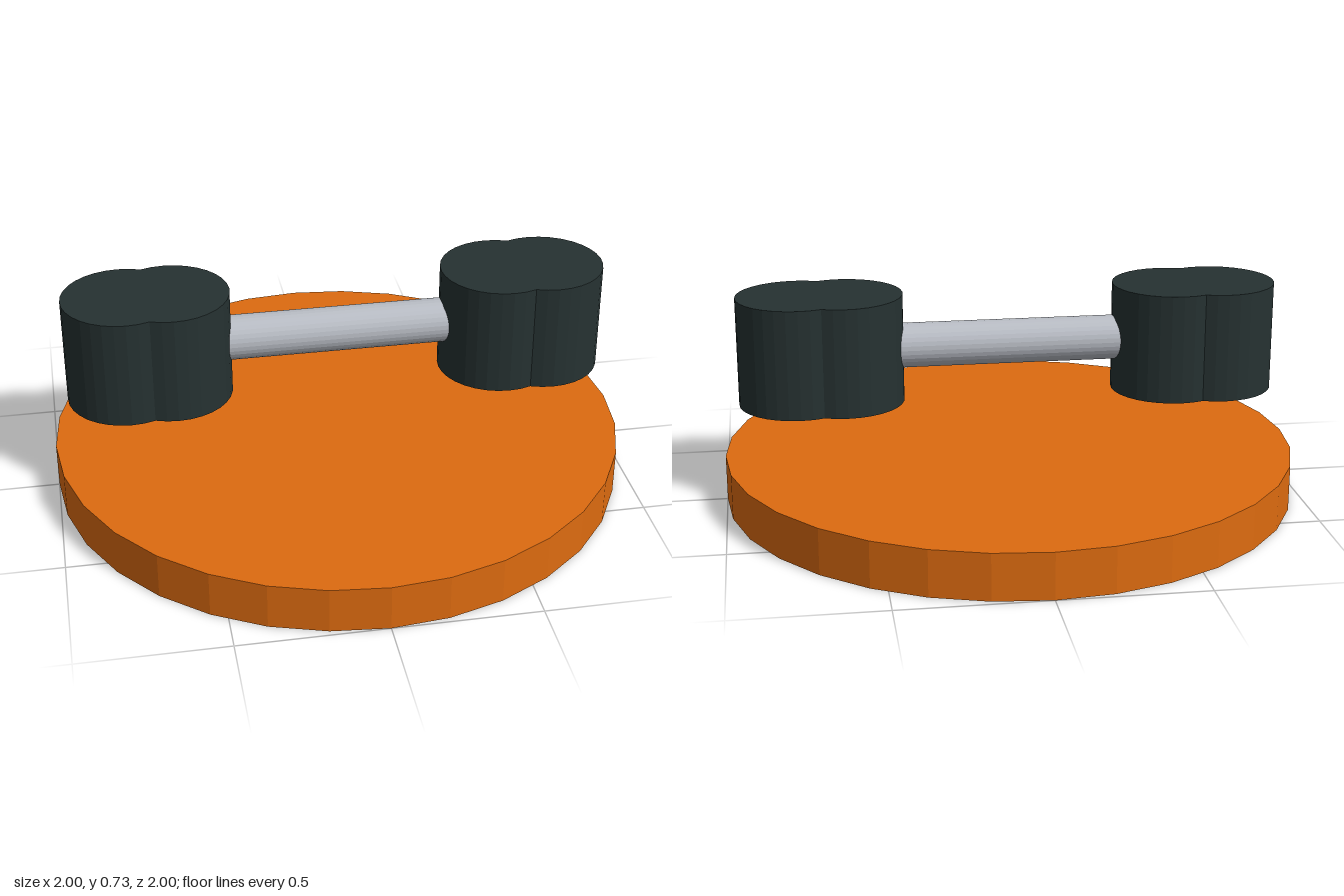
import * as THREE from 'three';

function material(name, color) {
  const m = new THREE.MeshStandardMaterial({ color, flatShading: true });
  m.name = name;
  return m;
}

export function createModel() {
  const group = new THREE.Group();
  const orange = material('orange', 0xdd6b10);
  const charcoal = material('charcoal', 0x263232);
  const steel = material('steel', 0xb8bcc4);

  function cylinder(name, radius, length, mat, x, y) {
    const mesh = new THREE.Mesh(new THREE.CylinderGeometry(radius, radius, length, 32), mat);
    mesh.name = name;
    mesh.position.set(x, y, 0);
    group.add(mesh);
    return mesh;
  }

  // Round platform
  cylinder('base', 1, 0.16, orange, 0, 0.08);

  // Horizontal bar floating above the platform
  cylinder('bar', 0.078, 1.16, steel, 0, 0.538).rotation.z = Math.PI / 2;

  // Two overlapping upright weights at each end
  for (const [side, s] of [['left', 1], ['right', -1]]) {
    cylinder(side + 'InnerWeight', 0.208, 0.382, charcoal, s * 0.578, 0.538);
    cylinder(side + 'OuterWeight', 0.208, 0.382, charcoal, s * 0.736, 0.538);
  }
  return group;
}
